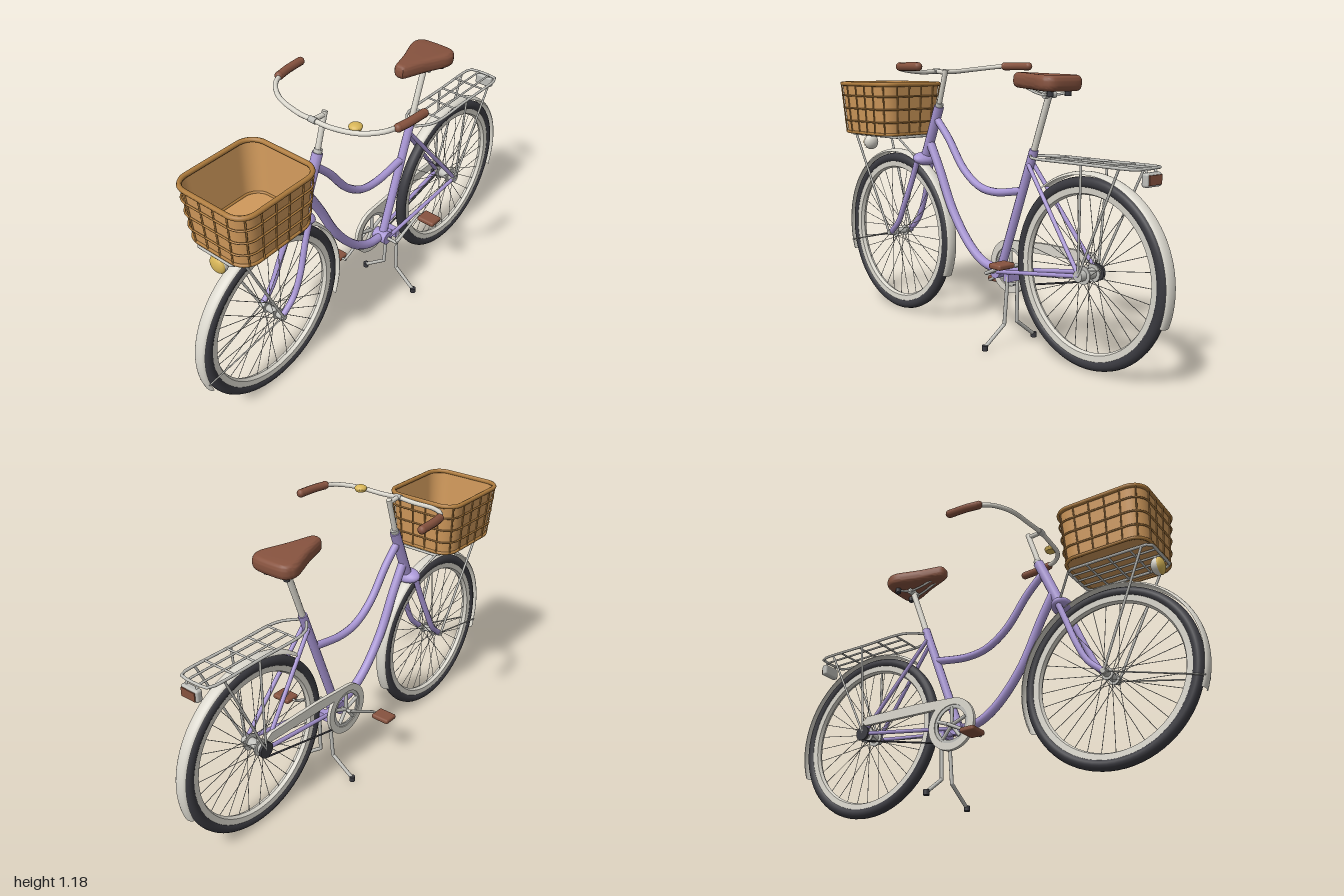
import * as THREE from 'three';
import { mergeGeometries, toCreasedNormals } from 'three/addons/utils/BufferGeometryUtils.js';
import { RoundedBoxGeometry } from 'three/addons/geometries/RoundedBoxGeometry.js';

const mat = (name, color, side = THREE.FrontSide) => {
  const m = new THREE.MeshStandardMaterial({ color, side });
  m.name = name;
  return m;
};
const V = (x, y, z) => new THREE.Vector3(x, y, z);
const rad = THREE.MathUtils.degToRad;

// Straight rod between two points
function rodGeo(a, b, r, r2 = r, sides = 10) {
  const d = b.clone().sub(a);
  const g = new THREE.CylinderGeometry(r2, r, d.length(), sides);
  g.applyQuaternion(new THREE.Quaternion().setFromUnitVectors(V(0, 1, 0), d.normalize()));
  const c = a.clone().add(b).multiplyScalar(0.5);
  return g.translate(c.x, c.y, c.z);
}
// Smooth bent tube through points given as [x, y, z]
function bendGeo(pts, r, closed = false, seg = 40, sides = 10) {
  const curve = new THREE.CatmullRomCurve3(pts.map(p => V(...p)), closed, 'centripetal');
  return new THREE.TubeGeometry(curve, seg, r, sides, closed);
}
function roundRect(hw, hd, r) {
  const s = new THREE.Shape();
  s.moveTo(0, -hd).lineTo(hw - r, -hd).absarc(hw - r, -hd + r, r, -Math.PI / 2, 0);
  s.lineTo(hw, hd - r).absarc(hw - r, hd - r, r, 0, Math.PI / 2);
  s.lineTo(-hw + r, hd).absarc(-hw + r, hd - r, r, Math.PI / 2, Math.PI);
  s.lineTo(-hw, -hd + r).absarc(-hw + r, -hd + r, r, Math.PI, Math.PI * 1.5);
  s.lineTo(0, -hd);
  return s;
}

export function createModel() {
  const bike = new THREE.Group();
  bike.name = 'bicycle';
  const M = {
    frame: mat('lilac paint', 0xa896d4),
    cream: mat('cream enamel', 0xdad7cd, THREE.DoubleSide),
    metal: mat('silver metal', 0xc0c0bb),
    rubber: mat('dark rubber', 0x3a3a40),
    leather: mat('brown leather', 0x87533f),
    wicker: mat('tan wicker', 0xd0995b, THREE.DoubleSide),
    rim: mat('basket rim', 0xb07d3e),
    brass: mat('brass', 0xd8b658),
  };
  const add = (name, geo, m, parent = bike) => {
    const mesh = new THREE.Mesh(geo, m);
    mesh.name = name;
    parent.add(mesh);
    return mesh;
  };
  const rod = (name, a, b, r, m, r2) => add(name, rodGeo(V(...a), V(...b), r, r2), m);
  const bend = (name, pts, r, m, closed) => add(name, bendGeo(pts, r, closed), m);
  const disc = (r, w, x, y, z) => new THREE.CylinderGeometry(r, r, w, 24).rotateZ(Math.PI / 2).translate(x, y, z);

  // Wheels with fenders; lathes are turned so their axis runs along x
  const AY = 0.38, RZ = -0.598;
  const lathe = (pts, n, start, len) => new THREE.LatheGeometry(
    pts.map(p => new THREE.Vector2(...p)), n, start, len).rotateZ(Math.PI / 2);
  function wheel(name, z, hubR, from, to) {
    const w = new THREE.Group();
    w.name = name;
    w.position.set(0, AY, z);
    bike.add(w);
    add('tyre', new THREE.TorusGeometry(0.352, 0.0235, 14, 72).rotateY(Math.PI / 2), M.rubber, w);
    add('wheelRim', toCreasedNormals(lathe([[0.337, -0.017], [0.312, -0.015], [0.305, 0], [0.312, 0.015], [0.337, 0.017]], 72), 0.6), M.cream, w);
    const spokes = [];
    for (let i = 0; i < 32; i++) {
      const a = i / 32 * Math.PI * 2, b = a + (i % 4 < 2 ? 0.9 : -0.9), s = i % 2 ? 0.028 : -0.028;
      spokes.push(rodGeo(V(s, 0.022 * Math.sin(b), 0.022 * Math.cos(b)),
        V(0, 0.31 * Math.sin(a), 0.31 * Math.cos(a)), 0.0014, 0.0014, 5));
    }
    add('spokes', mergeGeometries(spokes), M.metal, w);
    add('hub', mergeGeometries([disc(hubR * 0.6, 0.12, 0, 0, 0), disc(hubR, 0.006, 0.028, 0, 0), disc(hubR, 0.006, -0.028, 0, 0)]), M.metal, w);
    const prof = [];
    for (let i = 0; i <= 8; i++) {
      const t = (i / 8 - 0.5) * Math.PI;
      prof.push([0.383 + 0.013 * Math.cos(t), 0.026 * Math.sin(t)]);
    }
    add('fender', lathe(prof, 56, rad(from), rad(to - from)), M.cream, w);
  }
  wheel('frontWheel', 0.6, 0.024, -21, 204);
  wheel('rearWheel', RZ, 0.036, 52, 200);

  // Frame
  const BB = [0, 0.31, -0.108];
  rod('headTube', [0, 0.745, 0.4], [0, 0.985, 0.298], 0.023, M.frame);
  rod('seatTube', BB, [0, 0.835, -0.302], 0.019, M.frame);
  bend('topTube', [[0, 0.93, 0.315], [0, 0.85, 0.235], [0, 0.72, 0.13], [0, 0.655, 0.03], [0, 0.64, -0.07], [0, 0.663, -0.24]], 0.017, M.frame);
  bend('downTube', [[0, 0.815, 0.36], [0, 0.71, 0.3], [0, 0.52, 0.2], [0, 0.38, 0.08], [0, 0.325, -0.01], BB], 0.02, M.frame);
  add('bottomBracket', disc(0.03, 0.07, ...BB), M.frame);
  const crown = add('forkCrown', new THREE.SphereGeometry(1, 20, 12), M.frame);
  crown.scale.set(0.064, 0.027, 0.042);
  crown.position.set(0, 0.745, 0.402);
  crown.rotation.x = -0.4;
  for (const s of [1, -1]) {
    bend('forkBlade', [[s * 0.042, 0.745, 0.403], [s * 0.046, 0.65, 0.44], [s * 0.057, 0.53, 0.488], [s * 0.058, 0.44, 0.535], [s * 0.055, AY, 0.6]], 0.013, M.frame);
    rod('seatStay', [s * 0.015, 0.775, -0.285], [s * 0.052, AY, RZ], 0.009, M.frame);
    rod('chainStay', [s * 0.03, 0.31, -0.12], [s * 0.052, AY, RZ], 0.009, M.frame);
    rod('rearDropout', [s * 0.048, AY, RZ], [s * 0.06, AY, RZ], 0.022, M.metal);
    rod('frontAxleNut', [s * 0.048, AY, 0.6], [s * 0.07, AY, 0.6], 0.012, M.metal);
    rod('fenderStay', [s * 0.06, AY, 0.6], [s * 0.024, 0.285, 0.978], 0.003, M.metal);

    // Stand legs
    rod('standLegUpper', [s * 0.028, 0.3, -0.182], [s * 0.036, 0.095, -0.171], 0.008, M.metal);
    add('standLegBend', new THREE.SphereGeometry(0.008, 10, 8).translate(s * 0.036, 0.095, -0.171), M.metal);
    rod('standLegLower', [s * 0.036, 0.095, -0.171], [s * 0.138, 0.018, -0.167], 0.008, M.metal);
    rod('standFoot', [s * 0.142, 0.024, -0.167], [s * 0.142, 0.002, -0.167], 0.013, M.rubber);

    // Cranks and pedals
    const py = 0.302 + s * 0.077, pz = -0.108 - s * 0.161;
    rod('crank', [s * 0.08, 0.31, -0.108], [s * 0.086, py, pz], 0.008, M.metal, 0.006);
    rod('pedalAxle', [s * 0.08, py, pz], [s * 0.11, py, pz], 0.005, M.metal);
    add('pedal', new RoundedBoxGeometry(0.087, 0.023, 0.068, 3, 0.009).translate(s * 0.143, py, pz), M.leather);

    // Handlebar halves and grips
    bend('handlebar', [[0, 1.14, 0.315], [s * 0.08, 1.137, 0.31], [s * 0.2, 1.148, 0.285], [s * 0.27, 1.158, 0.23], [s * 0.297, 1.163, 0.16], [s * 0.306, 1.163, 0.06]], 0.01, M.cream);
    bend('grip', [[s * 0.295, 1.161, 0.185], [s * 0.304, 1.162, 0.13], [s * 0.309, 1.162, 0.047]], 0.0175, M.leather);
    for (const [x, z] of [[0.295, 0.185], [0.309, 0.047]]) {
      add('gripEnd', new THREE.SphereGeometry(0.0178, 12, 8).translate(s * x, 1.162, z), M.leather);
    }
  }
  add('standBracket', new THREE.BoxGeometry(0.07, 0.035, 0.03).translate(0, 0.295, -0.18), M.frame);
  rod('bracketBridge', [0, 0.308, -0.1], [0, 0.3, -0.18], 0.012, M.frame);
  rod('crankAxle', [-0.086, 0.31, -0.108], [0.086, 0.31, -0.108], 0.007, M.metal);

  // Drive train on the -x side; shape x runs toward the rear
  const plate = (shape, depth, x) => new THREE.ExtrudeGeometry(shape, { depth, bevelEnabled: false, curveSegments: 32 })
    .rotateY(Math.PI / 2).translate(x, 0, 0);
  const ring = (ro, ri) => {
    const s = new THREE.Shape().absarc(0.108, 0.318, ro, 0, Math.PI * 2);
    s.holes.push(new THREE.Path().absarc(0.108, 0.318, ri, 0, Math.PI * 2, true));
    return s;
  };
  add('chainGuardRing', plate(ring(0.115, 0.085), 0.016, -0.066), M.cream);
  add('chainGuardArm', plate(new THREE.Shape([[0.108, 0.433], [0.3, 0.447], [0.57, 0.45], [0.6, 0.43], [0.58, 0.41], [0.19, 0.398]]
    .map(p => new THREE.Vector2(...p))), 0.016, -0.066), M.cream);
  add('chainring', plate(ring(0.086, 0.07), 0.006, -0.062), M.metal);
  for (let i = 0; i < 5; i++) {
    const a = i * Math.PI * 0.4 + 0.3;
    rod('chainringArm', [-0.059, 0.314, -0.108], [-0.059, 0.318 + 0.075 * Math.sin(a), -0.108 + 0.075 * Math.cos(a)], 0.008, M.metal);
  }
  add('sprocket', disc(0.034, 0.012, -0.057, AY, RZ), M.rubber);
  rod('lowerChain', [-0.057, 0.236, -0.125], [-0.057, 0.345, -0.6], 0.004, M.rubber);
  rod('upperChain', [-0.057, 0.4, -0.12], [-0.057, 0.414, -0.59], 0.004, M.rubber);

  // Stem and bell
  rod('stem', [0, 0.96, 0.308], [0, 1.148, 0.249], 0.012, M.cream);
  rod('stemExtension', [0, 1.135, 0.255], [0, 1.14, 0.315], 0.01, M.cream);
  rod('stemClamp', [-0.016, 1.14, 0.315], [0.016, 1.14, 0.315], 0.013, M.metal);
  rod('headsetNut', [0, 0.975, 0.302], [0, 1.0, 0.292], 0.018, M.metal);
  add('bellBase', new THREE.CylinderGeometry(0.027, 0.022, 0.012, 20).translate(0.165, 1.149, 0.268), M.brass);
  add('bell', new THREE.SphereGeometry(0.027, 20, 8, 0, Math.PI * 2, 0, Math.PI / 2).scale(1, 0.55, 1).translate(0.165, 1.155, 0.268), M.brass);

  // Saddle: wedge outline with its nose forward, thick rounded edge
  const half = [[0.008, 0.128], [0.016, 0.108], [0.04, 0.03], [0.066, -0.035], [0.08, -0.075], [0.077, -0.102], [0.052, -0.117]];
  const outline = [...half, ...half.map(([x, z]) => [-x, z]).reverse()].map(p => new THREE.Vector2(p[0], -p[1]));
  const so = new THREE.Shape(new THREE.SplineCurve([...outline, outline[0]]).getPoints(56));
  const sg = new THREE.ExtrudeGeometry(so, { depth: 0.014, bevelThickness: 0.024, bevelSize: 0.02, bevelSegments: 6 });
  sg.rotateX(-Math.PI / 2).rotateX(-0.04).translate(0, 1.098, -0.348);
  add('saddle', toCreasedNormals(sg, 0.9), M.leather);
  rod('seatPost', [0, 0.8, -0.29], [0, 1.07, -0.388], 0.0135, M.cream);
  rod('seatClamp', [-0.03, 1.055, -0.383], [0.03, 1.055, -0.383], 0.014, M.metal);
  for (const s of [1, -1]) {
    bend('saddleRail', [[s * 0.012, 1.09, -0.24], [s * 0.022, 1.06, -0.34], [s * 0.03, 1.055, -0.39], [s * 0.05, 1.065, -0.44]], 0.005, M.metal);
    rod('saddleSpring', [s * 0.05, 1.05, -0.435], [s * 0.05, 1.09, -0.435], 0.013, M.rubber);
  }

  // Rear rack
  const RY = 0.81;
  bend('rearRackLoop', [[0.018, RY, -0.3], [0.06, RY, -0.35], [0.075, RY, -0.4], [0.075, RY, -0.6], [0.075, RY, -0.855], [0.067, RY, -0.87],
    [-0.067, RY, -0.87], [-0.075, RY, -0.855], [-0.075, RY, -0.6], [-0.075, RY, -0.4], [-0.06, RY, -0.35], [-0.018, RY, -0.3]], 0.006, M.metal);
  for (const z of [-0.42, -0.53, -0.64, -0.75]) rod('rearRackBar', [-0.075, RY, z], [0.075, RY, z], 0.0045, M.metal);
  for (const s of [1, -1]) {
    rod('rearRackRail', [s * 0.027, RY, -0.42], [s * 0.027, RY, -0.87], 0.0045, M.metal);
    for (const z of [-0.62, -0.8]) rod('rearRackStay', [s * 0.075, RY, z], [s * 0.058, AY, RZ], 0.005, M.metal);
    bend('reflectorArm', [[s * 0.027, RY, -0.86], [s * 0.027, 0.805, -0.88], [s * 0.027, 0.775, -0.885]], 0.005, M.metal);
  }
  add('reflectorHousing', new RoundedBoxGeometry(0.086, 0.052, 0.03, 3, 0.01).translate(0, 0.772, -0.886), M.metal);
  add('reflector', new THREE.BoxGeometry(0.07, 0.036, 0.008).translate(0, 0.772, -0.901), M.leather);

  // Front rack and headlight
  const FY = 0.84;
  const loop = (hw, hd, r, y, n) => roundRect(hw, hd, r).getSpacedPoints(n).map(p => [p.x, y, p.y + 0.665]);
  bend('frontRackLoop', loop(0.1, 0.185, 0.02, FY, 48).slice(0, -1), 0.006, M.metal, true);
  for (const x of [-0.05, 0, 0.05]) rod('frontRackRail', [x, FY, 0.48], [x, FY, 0.85], 0.0045, M.metal);
  for (const z of [0.57, 0.665, 0.76]) rod('frontRackBar', [-0.1, FY, z], [0.1, FY, z], 0.0045, M.metal);
  for (const s of [1, -1]) {
    rod('frontRackStay', [s * 0.1, FY, 0.81], [s * 0.066, AY, 0.602], 0.0055, M.metal);
    rod('frontRackBrace', [s * 0.09, FY, 0.485], [s * 0.04, 0.745, 0.41], 0.005, M.metal);
  }
  rod('headlightBracket', [0, FY, 0.825], [0, 0.79, 0.82], 0.007, M.metal);
  add('headlightShell', new THREE.SphereGeometry(0.037, 20, 12).scale(1, 1, 0.75).translate(0, 0.793, 0.831), M.cream);
  add('headlightLens', new THREE.SphereGeometry(0.038, 20, 8, 0, Math.PI * 2, 0, Math.PI / 2)
    .rotateX(Math.PI / 2).scale(1, 1, 0.5).translate(0, 0.793, 0.84), M.brass);

  // Basket: tapered wall, floor, woven strips on the outside and rims
  const N = 120, Y0 = 0.853, Y1 = 1.08;
  const level = (t, out = 0) => loop(0.153 + 0.019 * t + out, 0.18 + 0.013 * t + out, 0.068, Y0 + (Y1 - Y0) * t, N);
  const wall = new THREE.PlaneGeometry(1, 1, N, 1);
  [level(1), level(0)].forEach((row, j) => row.forEach((p, i) => wall.attributes.position.setXYZ(j * (N + 1) + i, ...p)));
  wall.computeVertexNormals();
  add('basketWall', wall, M.wicker);
  add('basketFloor', new THREE.ShapeGeometry(roundRect(0.153, 0.18, 0.068)).rotateX(-Math.PI / 2).translate(0, Y0, 0.665), M.wicker);
  const hoop = (pts, r) => bendGeo(pts.slice(0, -1), r, true, N, 8);
  for (const t of [0.24, 0.5, 0.76]) add('basketHoop', hoop(level(t, 0.005), 0.004), M.rim);
  const lo = level(0, 0.004), hi = level(1, 0.004), staves = [];
  for (let i = 3; i < N; i += 6) staves.push(rodGeo(V(...lo[i]), V(...hi[i]), 0.0035, 0.0035, 6));
  add('basketStaves', mergeGeometries(staves), M.rim);
  add('basketTopRim', hoop(level(1, 0.001), 0.01), M.rim);
  add('basketBottomRim', hoop(level(0, 0.001), 0.007), M.rim);

  return bike;
}
